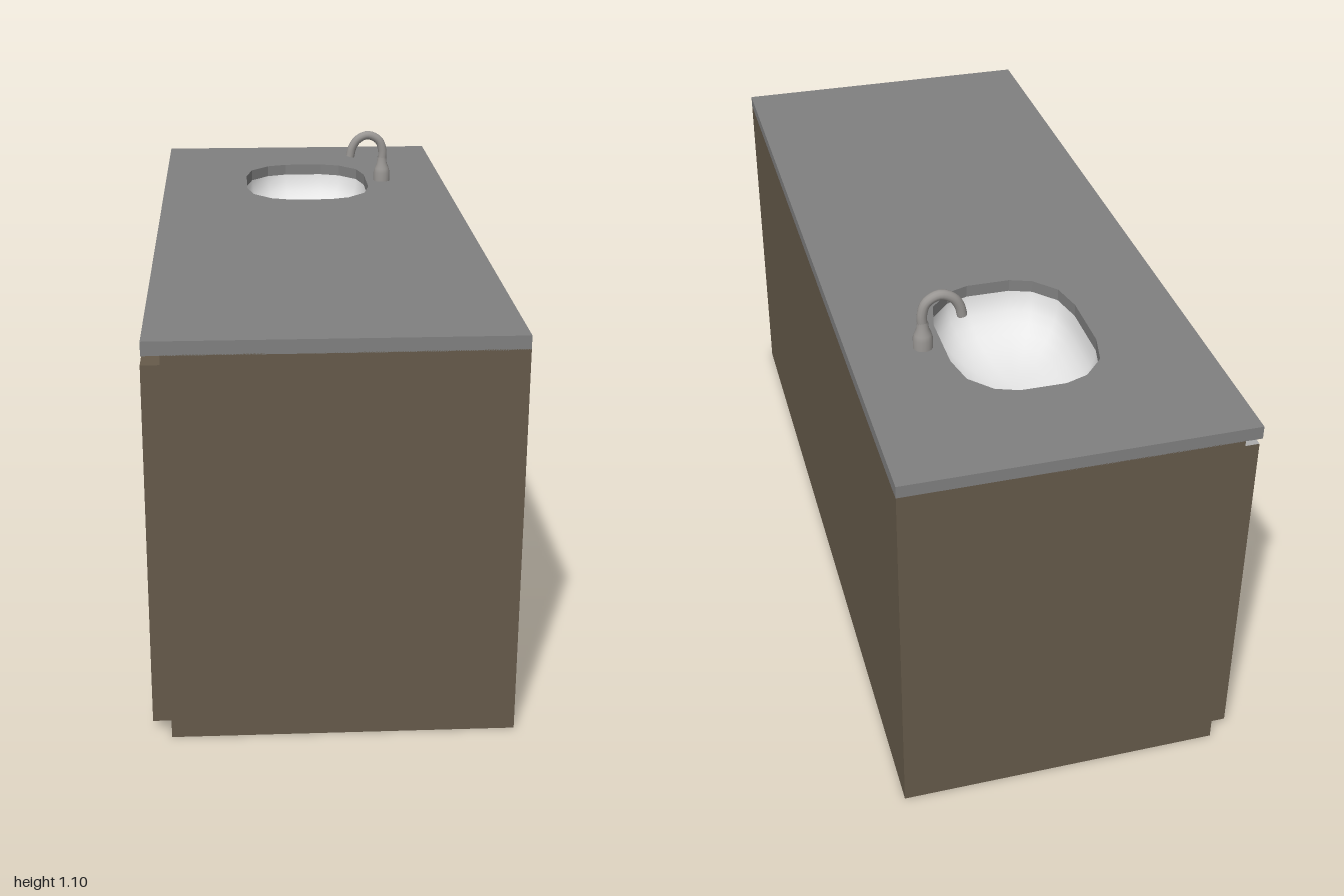
import * as THREE from 'three';

const mat = (name, color, side = THREE.FrontSide) => {
  const m = new THREE.MeshStandardMaterial({ color, side });
  m.name = name;
  return m;
};

// Outline of the basin opening around its centre, as [x, z], one quadrant mirrored to four
function basinOutline() {
  const q = [[0.178, 0.08], [0.16, 0.16], [0.11, 0.215], [0.055, 0.235]];
  const r = [...q].reverse();
  return [
    ...q,
    ...r.map(([x, z]) => [-x, z]),
    ...q.map(([x, z]) => [-x, -z]),
    ...r.map(([x, z]) => [x, -z]),
  ];
}

// Bowl made of shrinking rings, closed by a centre point
function bowlGeometry(outline, depth) {
  const pos = [], idx = [], n = outline.length, rings = 8;
  for (let i = 0; i < rings; i++) {
    const a = (i / rings) * Math.PI / 2;
    const s = Math.pow(Math.cos(a), 0.8);
    for (const [x, z] of outline) pos.push(x * s, -depth * Math.sin(a), z * s);
  }
  pos.push(0, -depth, 0);
  for (let i = 0; i < rings; i++) {
    for (let j = 0; j < n; j++) {
      const k = (j + 1) % n, a = i * n + j, b = i * n + k;
      if (i === rings - 1) idx.push(a, rings * n, b);
      else idx.push(a, a + n, b, b, a + n, b + n);
    }
  }
  const g = new THREE.BufferGeometry();
  g.setAttribute('position', new THREE.Float32BufferAttribute(pos, 3));
  g.setIndex(idx);
  g.computeVertexNormals();
  return g;
}

export function createModel() {
  const wood = mat('brown wood', 0x665a4a, THREE.DoubleSide);
  const stone = mat('grey worktop', 0x808080);
  const ceramic = mat('white ceramic', 0xf0f0f0, THREE.DoubleSide);
  const metal = mat('faucet metal', 0x999693, THREE.DoubleSide);
  const edge = mat('light door edge', 0xacacac);

  const model = new THREE.Group();
  model.name = 'sinkCabinet';
  const add = (name, geo, material, x = 0, y = 0, z = 0, parent = model) => {
    const m = new THREE.Mesh(geo, material);
    m.name = name;
    m.position.set(x, y, z);
    parent.add(m);
    return m;
  };

  // Cabinet body, open at the top so the basin can hang inside
  const body = new THREE.BoxGeometry(0.784, 0.92, 2);
  body.setIndex([...body.index.array].filter((_, i) => i < 12 || i >= 18));
  body.clearGroups();
  add('cabinetBody', body, wood, 0.02, 0.46, 0);

  // Four doors; the two beside the basin have a light top edge
  for (let i = 0; i < 4; i++) {
    const top = i < 2 ? edge : wood;
    add('door' + (i + 1), new THREE.BoxGeometry(0.043, 0.86, 0.46),
      [wood, wood, top, wood, wood, wood], -0.3935, 0.46, -0.752 + i * 0.5);
  }

  // Worktop with the basin opening
  const cx = 0.007, cz = -0.495;
  const outline = basinOutline();
  const slab = new THREE.Shape([[-0.412, -1], [0.412, -1], [0.412, 1], [-0.412, 1]]
    .map(([x, y]) => new THREE.Vector2(x, y)));
  slab.holes.push(new THREE.Path(outline.map(([x, z]) => new THREE.Vector2(cx + x, -cz - z))));
  const slabGeo = new THREE.ExtrudeGeometry(slab, { depth: 0.032, bevelEnabled: false });
  slabGeo.rotateX(-Math.PI / 2);
  add('worktop', slabGeo, stone, 0, 0.918, 0);

  // Basin
  add('basin', bowlGeometry(outline, 0.13), ceramic, cx, 0.919, cz);

  // Faucet: turned base and curved spout
  const faucet = new THREE.Group();
  faucet.name = 'faucet';
  faucet.position.set(0, 0, -0.5);
  model.add(faucet);
  const profile = [[0.024, 0.95], [0.024, 0.975], [0.021, 0.987], [0.015, 1.002], [0.013, 1.02]]
    .map(([r, y]) => new THREE.Vector2(r, y));
  add('faucetBase', new THREE.LatheGeometry(profile, 16), metal, 0.232, 0, 0, faucet);
  const path = new THREE.CatmullRomCurve3([
    [0.232, 1.0], [0.233, 1.04], [0.222, 1.07], [0.19, 1.086],
    [0.159, 1.073], [0.143, 1.049], [0.137, 1.023],
  ].map(([x, y]) => new THREE.Vector3(x, y, 0)));
  add('faucetSpout', new THREE.TubeGeometry(path, 24, 0.0125, 12), metal, 0, 0, 0, faucet);
  const cap = add('spoutEnd', new THREE.CircleGeometry(0.0125, 12), metal, 0.137, 1.023, 0, faucet);
  cap.lookAt(new THREE.Vector3(0.137, 1.023, -0.5).add(path.getTangent(1)));

  return model;
}
